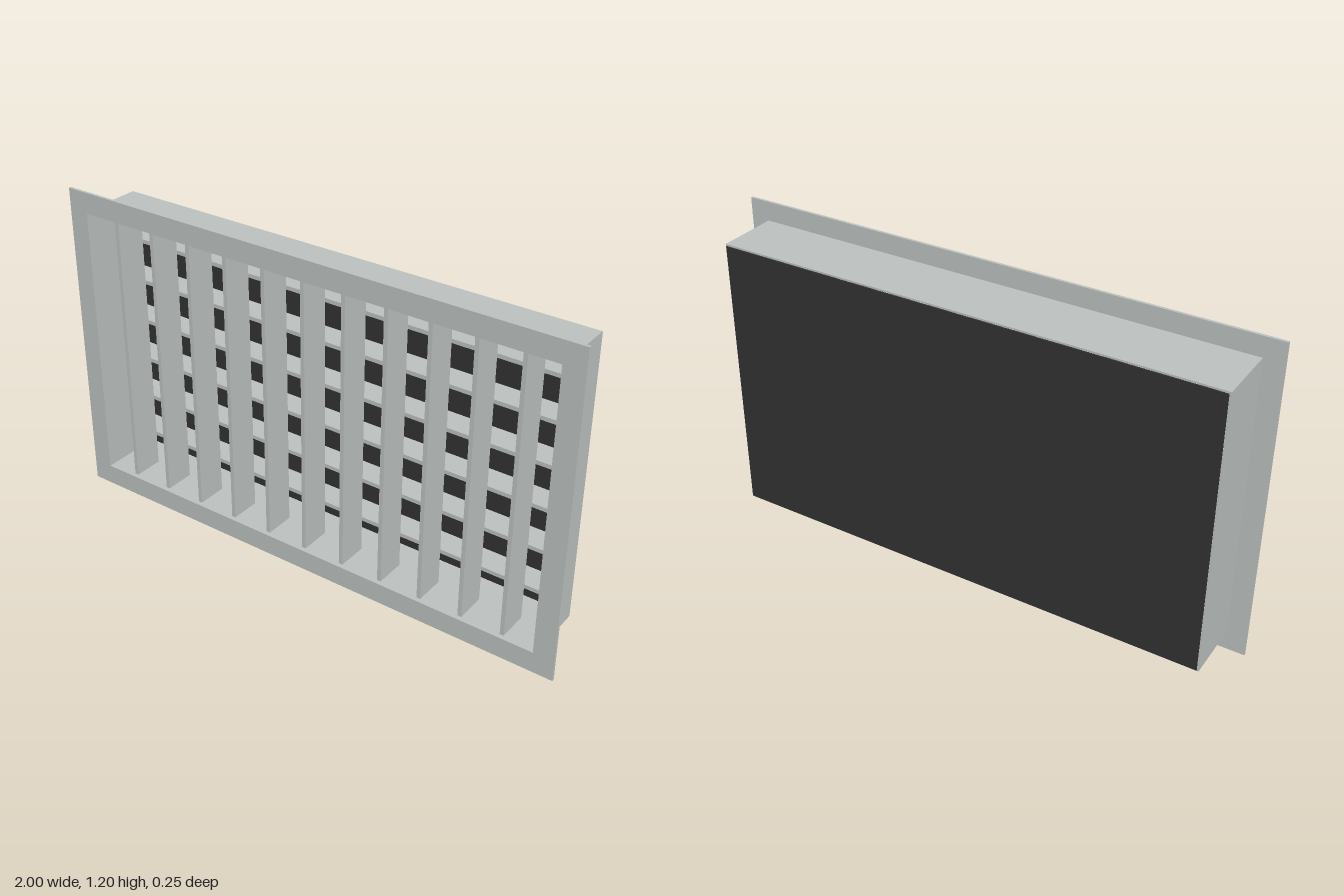
import * as THREE from 'three';

const W = 2, H = 1.2;             // flange size
const IW = 1.846, IH = 1.044;     // clear opening
const T = 0.006;                  // casing sheet thickness
const FRONT = 0.123, FLANGE = 0.01, BACK = -0.117;

// rectangular ring extruded along z from z0 to z1
function ring(w, h, iw, ih, z0, z1) {
  const rect = (Type, a, b) => new Type([
    new THREE.Vector2(-a / 2, -b / 2), new THREE.Vector2(a / 2, -b / 2),
    new THREE.Vector2(a / 2, b / 2), new THREE.Vector2(-a / 2, b / 2),
  ]);
  const shape = rect(THREE.Shape, w, h);
  shape.holes.push(rect(THREE.Path, iw, ih));
  const geo = new THREE.ExtrudeGeometry(shape, { depth: z1 - z0, bevelEnabled: false });
  return geo.translate(0, H / 2, z0);
}

export function createModel() {
  const metal = new THREE.MeshStandardMaterial({ color: 0xbec3c2 });
  metal.name = 'light grey metal';
  const dark = new THREE.MeshStandardMaterial({ color: 0x333333 });
  dark.name = 'dark backing';

  const root = new THREE.Group();
  root.name = 'ventGrille';
  const add = (name, geo, mat, parent = root) => {
    const mesh = new THREE.Mesh(geo, mat);
    mesh.name = name;
    parent.add(mesh);
    return mesh;
  };

  // face flange and the box-shaped casing behind it
  add('flange', ring(W, H, IW, IH, FRONT - FLANGE, FRONT), metal);
  add('casing', ring(IW + 2 * T, IH + 2 * T, IW, IH, BACK, FRONT - FLANGE), metal);

  // dark panel closing the back
  add('backPanel', new THREE.BoxGeometry(IW, IH, 0.005), dark)
    .position.set(0, H / 2, -0.1205);

  // upright blades in front
  const uprights = new THREE.Group();
  uprights.name = 'verticalBlades';
  root.add(uprights);
  const uprightGeo = new THREE.BoxGeometry(0.015, IH, 0.115);
  for (let i = -5; i <= 5; i++) {
    add('verticalBlade', uprightGeo, metal, uprights).position.set(i * 0.16, H / 2, 0.048);
  }

  // level blades behind them
  const levels = new THREE.Group();
  levels.name = 'horizontalBlades';
  root.add(levels);
  const levelGeo = new THREE.BoxGeometry(IW, 0.015, 0.095);
  for (let i = 0; i < 6; i++) {
    add('horizontalBlade', levelGeo, metal, levels).position.set(0, 0.2 + i * 0.16, -0.065);
  }

  return root;
}
